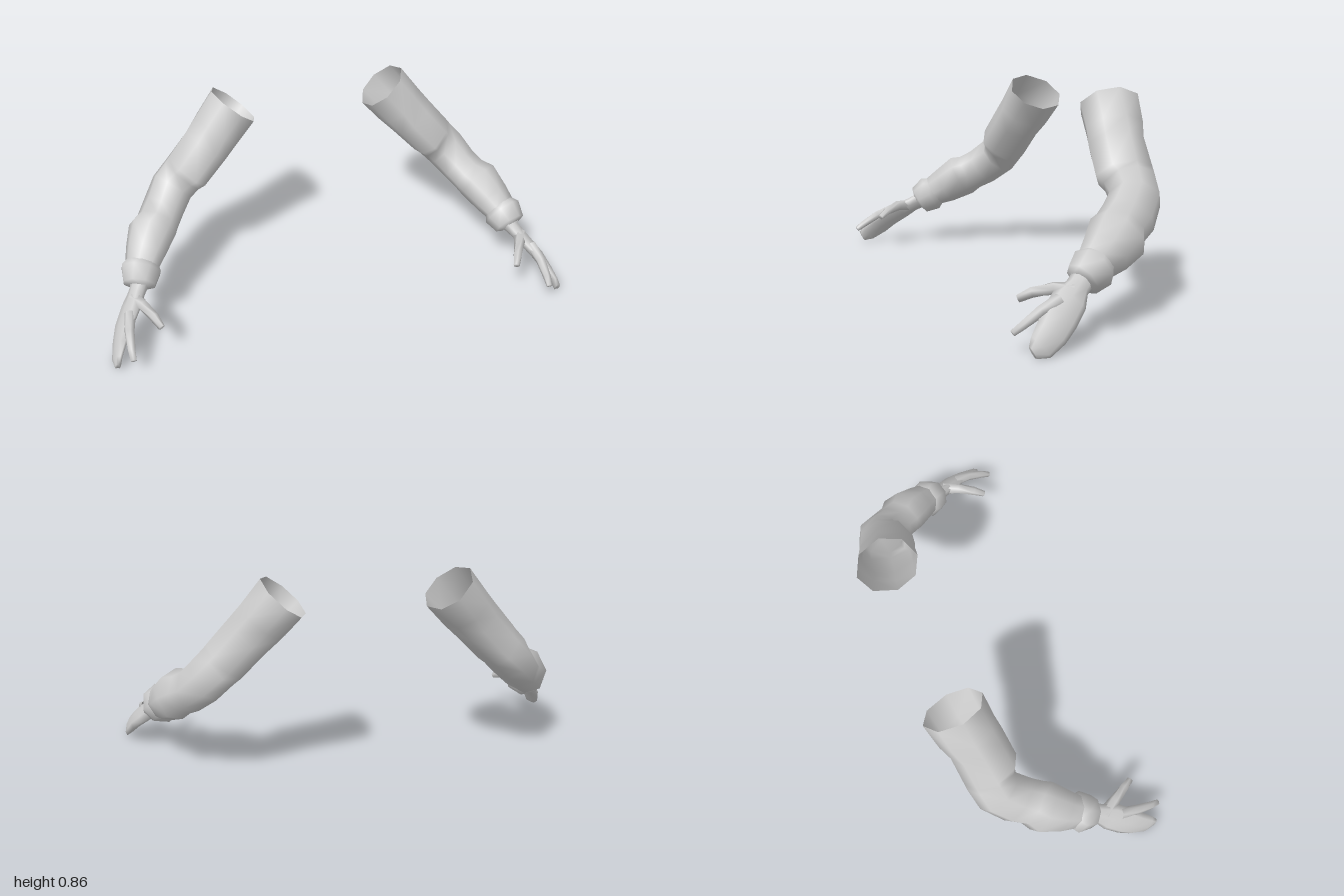
import * as THREE from 'three';

const V = (x, y, z) => new THREE.Vector3(x, y, z);
const material = new THREE.MeshStandardMaterial({ color: 0xcccccc, side: THREE.DoubleSide });

// Skin a run of rings. Each ring: [x, y, z, front, back, outer, inner],
// the last four being its reach to each side of the centre line.
function loft(name, rings, side, sides = 8, capEnd = false) {
  const pos = [], index = [];
  const centres = rings.map(r => V(r[0], r[1], r[2]));
  rings.forEach((r, i) => {
    const a = centres[Math.max(i - 1, 0)];
    const b = centres[Math.min(i + 1, rings.length - 1)];
    const d = b.clone().sub(a).normalize();
    const w = V(0, 0, 1).addScaledVector(d, -d.z).normalize();
    const u = w.clone().cross(d);
    for (let j = 0; j < sides; j++) {
      const t = j / sides * Math.PI * 2, c = Math.cos(t), s = Math.sin(t);
      const p = centres[i].clone()
        .addScaledVector(w, c * (c > 0 ? r[3] : r[4]))
        .addScaledVector(u, s * (s > 0 ? r[5] : r[6]));
      pos.push(p.x * side, Math.max(p.y, 0), p.z);
    }
  });
  const tri = (a, b, c) => side > 0 ? index.push(a, b, c) : index.push(a, c, b);
  for (let i = 0; i < rings.length - 1; i++) {
    for (let j = 0; j < sides; j++) {
      const k = (j + 1) % sides;
      const a = i * sides + j, b = i * sides + k;
      tri(a, a + sides, b);
      tri(b, a + sides, b + sides);
    }
  }
  if (capEnd) {
    const base = (rings.length - 1) * sides;
    for (let j = 1; j < sides - 1; j++) tri(base, base + j + 1, base + j);
  }
  const geo = new THREE.BufferGeometry();
  geo.setAttribute('position', new THREE.Float32BufferAttribute(pos, 3));
  geo.setIndex(index);
  geo.computeVertexNormals();
  const mesh = new THREE.Mesh(geo, material);
  mesh.name = name;
  return mesh;
}

// Round ring, for cuff and fingers
const round = (x, y, z, r) => [x, y, z, r, r, r, r];
// Flat ring, for the hand
const flat = (x, y, z, w, t) => [x, y, z, w, w, t, t];

// Sleeve from the open shoulder end, with folds at the elbow and mid forearm
const sleeve = [
  [0.33, 0.78, -0.29, 0.125, 0.138, 0.12, 0.11],
  [0.41, 0.685, -0.275, 0.125, 0.125, 0.114, 0.106],
  [0.455, 0.62, -0.26, 0.125, 0.112, 0.12, 0.09],
  [0.55, 0.515, -0.24, 0.125, 0.118, 0.115, 0.085],
  [0.572, 0.493, -0.237, 0.10, 0.118, 0.112, 0.08],
  [0.625, 0.445, -0.225, 0.09, 0.12, 0.105, 0.085],
  [0.68, 0.39, -0.165, 0.095, 0.12, 0.09, 0.085],
  [0.715, 0.357, -0.12, 0.10, 0.105, 0.09, 0.085],
  [0.74, 0.335, -0.085, 0.11, 0.125, 0.108, 0.088],
  [0.785, 0.285, -0.01, 0.09, 0.10, 0.09, 0.08],
  [0.812, 0.255, 0.04, 0.075, 0.075, 0.075, 0.07],
];

// Turned-back cuff, closing in on the wrist
const cuff = [
  round(0.805, 0.262, 0.03, 0.07),
  round(0.82, 0.245, 0.055, 0.088),
  round(0.837, 0.212, 0.108, 0.07),
  round(0.84, 0.207, 0.115, 0.04),
];

// Palm running into the joined outer fingers
const hand = [
  flat(0.83, 0.215, 0.10, 0.045, 0.035),
  flat(0.855, 0.19, 0.14, 0.045, 0.03),
  flat(0.885, 0.16, 0.185, 0.065, 0.027),
  flat(0.925, 0.115, 0.245, 0.067, 0.025),
  flat(0.95, 0.075, 0.29, 0.062, 0.021),
  flat(0.97, 0.036, 0.342, 0.05, 0.017),
  flat(0.972, 0.02, 0.372, 0.03, 0.012),
];

const indexFinger = [
  round(0.892, 0.168, 0.23, 0.024),
  round(0.905, 0.14, 0.31, 0.021),
  round(0.908, 0.1, 0.38, 0.017),
  round(0.906, 0.077, 0.417, 0.013),
];

const thumb = [
  round(0.865, 0.185, 0.16, 0.03),
  round(0.835, 0.193, 0.225, 0.024),
  round(0.80, 0.178, 0.29, 0.02),
  round(0.777, 0.154, 0.335, 0.014),
];

function arm(name, side) {
  const g = new THREE.Group();
  g.name = name;
  g.add(
    loft('sleeve', sleeve, side),
    loft('cuff', cuff, side),
    loft('hand', hand, side, 8, true),
    loft('indexFinger', indexFinger, side, 6, true),
    loft('thumb', thumb, side, 6, true),
  );
  return g;
}

export function createModel() {
  const model = new THREE.Group();
  model.name = 'arms';
  model.add(arm('leftArm', 1), arm('rightArm', -1));
  return model;
}
